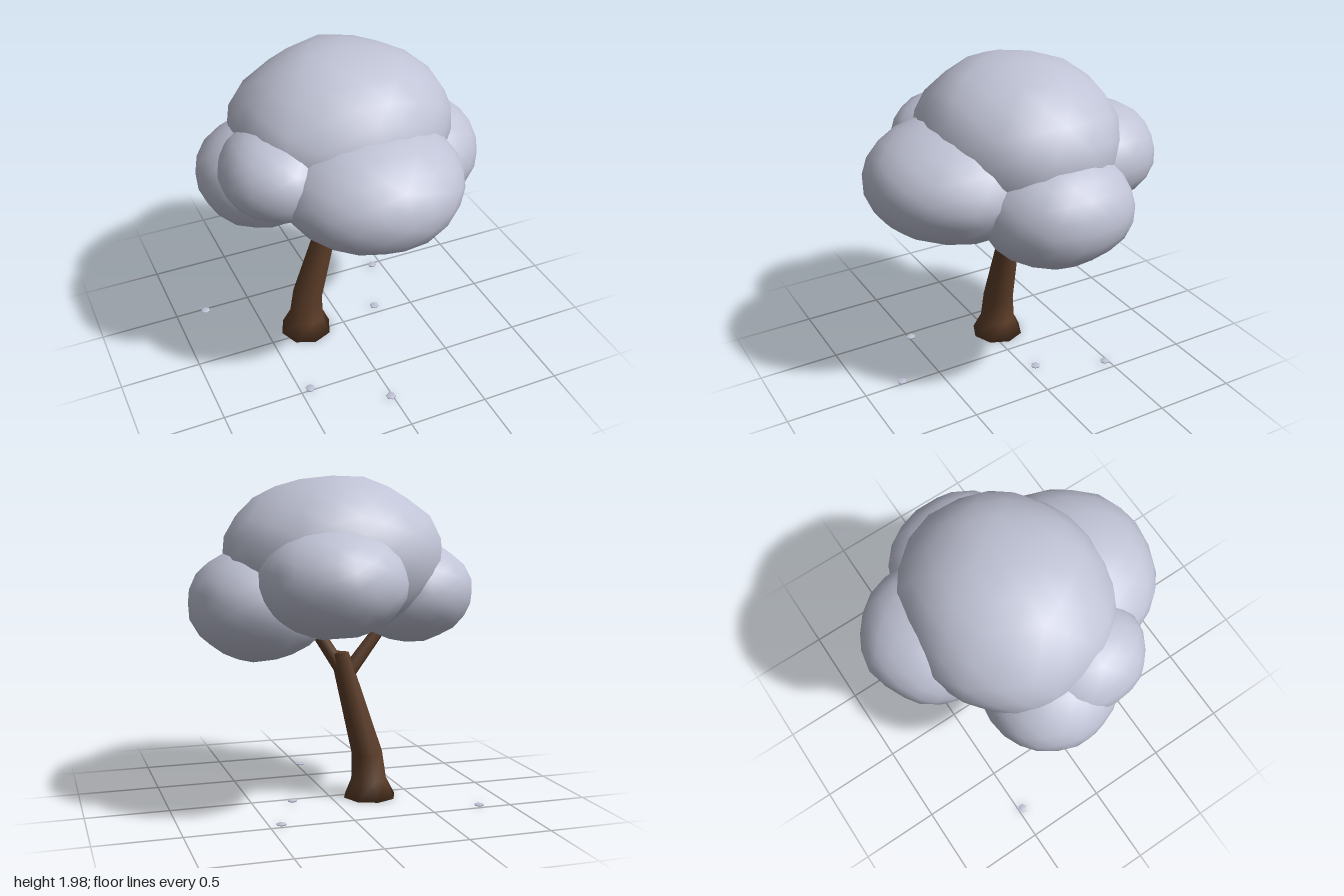
import * as THREE from 'three';
import { mergeVertices } from 'three/addons/utils/BufferGeometryUtils.js';

const foliage = new THREE.MeshStandardMaterial({ color: 0xc0c3d5 });
foliage.name = 'pale foliage';
const bark = new THREE.MeshStandardMaterial({ color: 0x5c3d28 });
bark.name = 'brown bark';

// Weld a geometry's seams so that it shades smoothly
function weld(geometry) {
  geometry.deleteAttribute('normal');
  geometry.deleteAttribute('uv');
  return mergeVertices(geometry, 1e-4);
}

// Slightly lumpy low-poly ellipsoid with smooth normals
function clump(name, center, radii, seed, lump = 0.015) {
  const g = weld(new THREE.IcosahedronGeometry(1, 3));
  const p = g.attributes.position;
  const v = new THREE.Vector3();
  for (let i = 0; i < p.count; i++) {
    v.fromBufferAttribute(p, i);
    const n = Math.sin(6.1 * v.x + seed) * Math.cos(5.7 * v.z + 2 * seed) +
      0.6 * Math.sin(7.3 * v.y + 4.1 * v.x + 1.7 * seed);
    v.multiplyScalar(1 + lump * n);
    p.setXYZ(i, v.x * radii[0], v.y * radii[1], v.z * radii[2]);
  }
  g.computeVertexNormals();
  const mesh = new THREE.Mesh(g, foliage);
  mesh.name = name;
  mesh.position.set(...center);
  return mesh;
}

// Leaning trunk: rows of [centre x, y, radius] from top to bottom
function makeTrunk() {
  const rows = [[-0.046, 0.92, 0.06], [-0.228, 0.28, 0.1], [-0.24, 0.11, 0.115], [-0.245, 0, 0.167]];
  const g = weld(new THREE.CylinderGeometry(1, 1, 1, 8, 3));
  const p = g.attributes.position;
  for (let i = 0; i < p.count; i++) {
    const [cx, y, r] = rows[Math.round((0.5 - p.getY(i)) * 3)];
    p.setXYZ(i, cx + p.getX(i) * r, y, -0.06 + p.getZ(i) * r);
  }
  g.computeVertexNormals();
  const mesh = new THREE.Mesh(g, bark);
  mesh.name = 'trunk';
  return mesh;
}

// Tapered branch between two points
function branch(name, from, to, r0, r1) {
  const a = new THREE.Vector3(...from), b = new THREE.Vector3(...to);
  const dir = b.clone().sub(a);
  const mesh = new THREE.Mesh(new THREE.CylinderGeometry(r1, r0, dir.length(), 7), bark);
  mesh.name = name;
  mesh.position.copy(a).add(b).multiplyScalar(0.5);
  mesh.quaternion.setFromUnitVectors(new THREE.Vector3(0, 1, 0), dir.normalize());
  return mesh;
}

export function createModel() {
  const tree = new THREE.Group();
  tree.name = 'tree';

  tree.add(makeTrunk());
  tree.add(branch('leftBranch', [-0.06, 0.81, -0.06], [0.13, 1.1, -0.06], 0.045, 0.037));
  tree.add(branch('rightBranch', [-0.1, 0.79, -0.06], [-0.31, 1.06, -0.06], 0.047, 0.037));

  // Crown
  const crown = new THREE.Group();
  crown.name = 'crown';
  crown.add(
    clump('topFoliage', [0, 1.5, -0.05], [0.67, 0.49, 0.61], 1.2, 0.02),
    clump('frontFoliage', [0.005, 1.34, 0.34], [0.545, 0.355, 0.555], 2.6, 0.01),
    clump('backFoliage', [0.12, 1.38, -0.47], [0.43, 0.31, 0.425], 4.1),
    clump('leftFoliage', [0.45, 1.235, -0.06], [0.425, 0.34, 0.46], 0.4),
    clump('rightFoliage', [-0.48, 1.29, -0.08], [0.395, 0.315, 0.4], 5.2),
    clump('frontRightFoliage', [-0.475, 1.41, 0.14], [0.335, 0.265, 0.375], 3.3)
  );
  tree.add(crown);

  // Fallen petals on the ground
  const petals = new THREE.Group();
  petals.name = 'fallenPetals';
  const petalShape = new THREE.SphereGeometry(0.034, 6, 3).scale(1, 0.2, 1);
  [[-0.806, -0.473], [-0.44, 0.49], [-0.015, 0.75], [0.255, -0.06], [0.433, -0.473]].forEach(([x, z], i) => {
    const petal = new THREE.Mesh(petalShape, foliage);
    petal.name = `petal${i + 1}`;
    petal.position.set(x, 0.011, z);
    petal.rotation.y = Math.PI / 6;
    petals.add(petal);
  });
  tree.add(petals);

  return tree;
}
